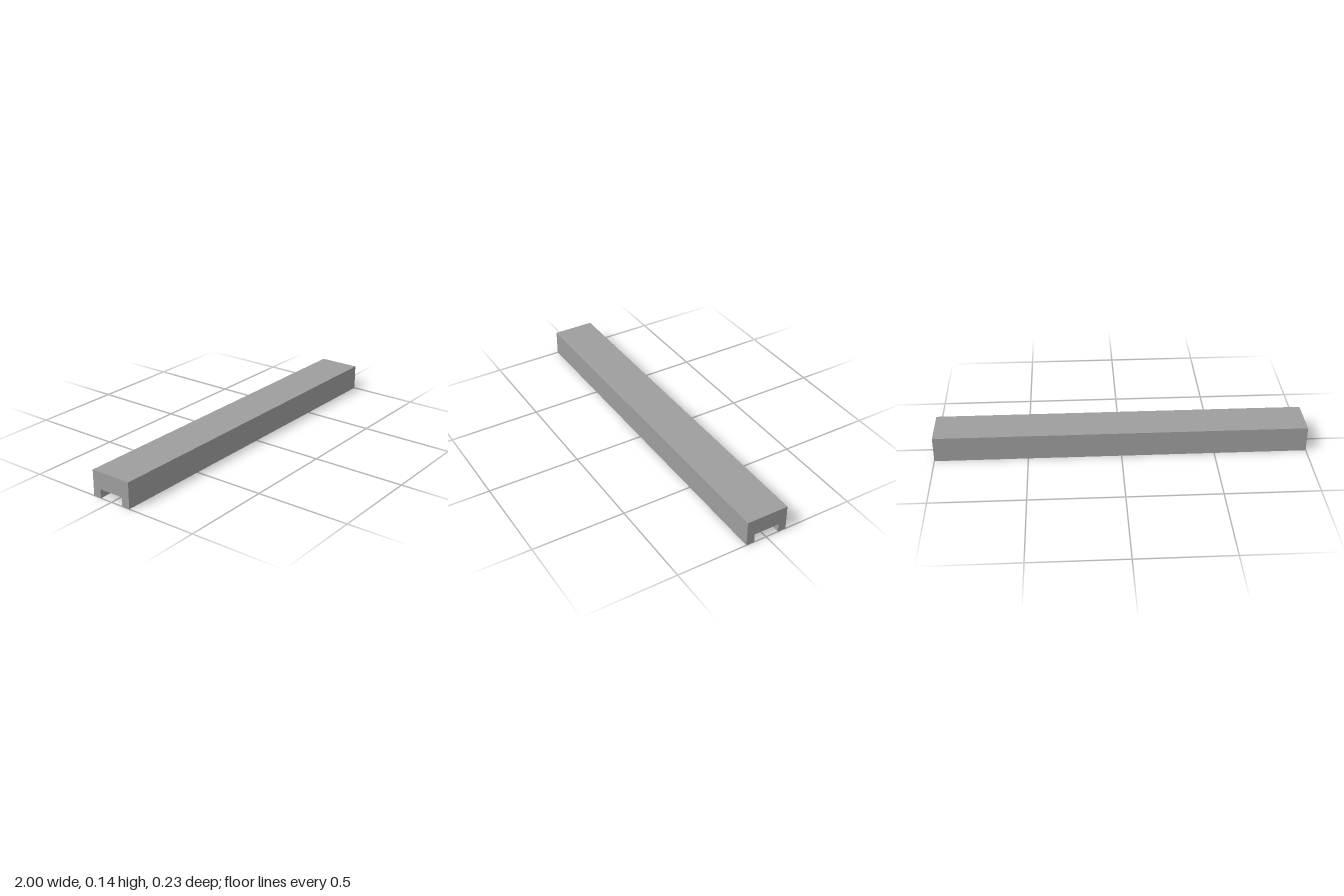
import * as THREE from 'three';

export function createModel() {
  const length = 2, height = 0.139, halfWidth = 0.115;
  const slotHalf = 0.07, slotHeight = 0.048;

  // Cross-section: a solid bar with a slot cut along its underside
  const profile = new THREE.Shape([
    [-halfWidth, 0], [-slotHalf, 0], [-slotHalf, slotHeight], [slotHalf, slotHeight],
    [slotHalf, 0], [halfWidth, 0], [halfWidth, height], [-halfWidth, height],
  ].map(([z, y]) => new THREE.Vector2(z, y)));

  // Run the section along x, centred
  const geometry = new THREE.ExtrudeGeometry(profile, { depth: length, bevelEnabled: false });
  geometry.translate(0, 0, -length / 2);
  geometry.rotateY(Math.PI / 2);

  const channelBar = new THREE.Mesh(
    geometry,
    new THREE.MeshStandardMaterial({ color: 0x9e9e9e }),
  );
  channelBar.name = 'channelBar';

  const group = new THREE.Group();
  group.name = 'channelBeam';
  group.add(channelBar);
  return group;
}
